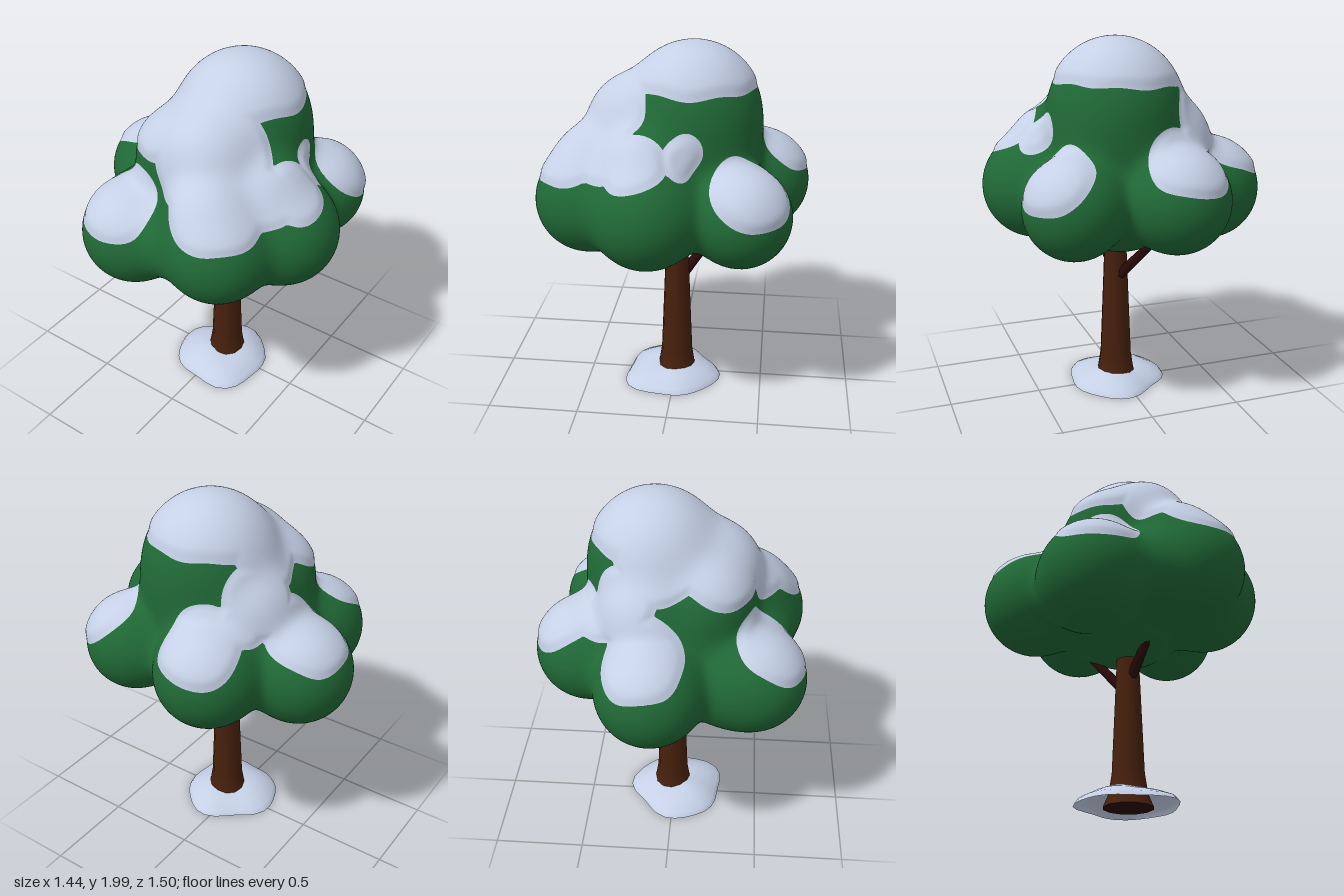
import * as THREE from 'three';
import { mergeVertices } from 'three/addons/utils/BufferGeometryUtils.js';

const mat = (name, color, side = THREE.FrontSide) => {
  const m = new THREE.MeshStandardMaterial({ color, side });
  m.name = name;
  return m;
};

// Leaf blobs: x, y, z, radius
const BLOBS = [
  [0, 1.26, 0, 0.425],           // core
  [0.13, 1.15, 0.06, 0.285],     // underside, left
  [-0.12, 1.16, 0.05, 0.28],     // underside, right
  [0.1, 1.636, 0.07, 0.345],     // crown
  [0.13, 1.48, 0.1, 0.31],       // neck below the crown
  [-0.2, 1.56, 0.08, 0.24],      // crown shoulder
  [-0.18, 1.49, -0.12, 0.23],    // back right shoulder
  [0.13, 1.44, -0.2, 0.22],      // back shoulder
  [0.09, 1.14, -0.47, 0.285],    // back lobe
  [-0.44, 1.09, -0.25, 0.277],   // back right lobe
  [-0.3, 1.1, -0.28, 0.24],      // back right lobe, inner half
  [0.44, 1.18, -0.15, 0.28],     // left lobe
  [0.37, 1.165, 0.38, 0.265],    // front left lobe
  [-0.1, 1.19, 0.46, 0.288],     // front lobe
  [-0.43, 1.19, 0.28, 0.277],    // front right lobe
  [-0.45, 1.14, 0.03, 0.18],     // fill between the right lobes
  [-0.39, 1.36, 0.2, 0.21],      // slope above the front right lobe
  [-0.12, 1.39, 0.34, 0.22],     // slope above the front lobe
];

// Snow patches lying on the leaves: x, y, z, radius
const PATCHES = [
  [0.1, 2.05, 0.06, 0.435],
  [-0.35, 1.63, 0.19, 0.3],
  [-0.24, 1.73, -0.15, 0.25],
  [-0.5, 1.5, 0.32, 0.25],
  [-0.32, 1.52, 0.48, 0.17],
  [-0.15, 1.5, 0.57, 0.17],
  [0.1, 1.52, 0.52, 0.12],
  [0.43, 1.34, 0.5, 0.21],
  [-0.54, 1.32, -0.27, 0.225],
  [0.13, 1.4, -0.56, 0.23],
  [0.55, 1.4, -0.17, 0.22],
  [0.36, 1.47, -0.29, 0.13],
  [0.05, 1.78, -0.25, 0.23],
  [0.25, 1.56, -0.33, 0.19],
];

// Smoothly blended distance to all blobs
function leafDistance(p) {
  const k = 0.04;
  let sum = 0;
  for (const [x, y, z, r] of BLOBS) {
    sum += Math.exp(-(Math.hypot(p.x - x, p.y - y, p.z - z) - r) / k);
  }
  return -k * Math.log(sum);
}

// Positive inside a snow patch, with a slightly ragged edge
function snowField(p) {
  let best = -1;
  for (const [x, y, z, r] of PATCHES) {
    best = Math.max(best, r - Math.hypot(p.x - x, p.y - y, p.z - z));
  }
  return best + 0.012 * Math.sin(17 * p.x + 3) * Math.cos(15 * p.z + 9 * p.y);
}

// Keeps the part of each triangle where its corner field is positive
function clip(triangles, sign) {
  const out = [];
  for (const tri of triangles) {
    const poly = [];
    for (let i = 0; i < 3; i++) {
      const a = tri[i], b = tri[(i + 1) % 3];
      const fa = a.f * sign, fb = b.f * sign;
      if (fa >= 0) poly.push(a.p);
      if ((fa >= 0) !== (fb >= 0)) {
        // interpolate in a fixed order so that both sides share the seam
        const [s, e] = a.id < b.id ? [a, b] : [b, a];
        poly.push(s.p.clone().lerp(e.p, s.f / (s.f - e.f)));
      }
    }
    for (let i = 2; i < poly.length; i++) {
      for (const v of [poly[0], poly[i - 1], poly[i]]) out.push(v.x, v.y, v.z);
    }
  }
  let geo = new THREE.BufferGeometry();
  geo.setAttribute('position', new THREE.Float32BufferAttribute(out, 3));
  geo = mergeVertices(geo, 1e-5);
  geo.computeVertexNormals();
  return geo;
}

// Wraps a sphere onto the blobs and returns its triangles
function canopyTriangles() {
  let ball = new THREE.IcosahedronGeometry(1, 40);
  ball.deleteAttribute('uv');
  ball.deleteAttribute('normal');
  ball = mergeVertices(ball, 1e-4);
  const centre = new THREE.Vector3(0, 1.3, 0);
  const pos = ball.attributes.position;
  const corners = [];
  for (let i = 0; i < pos.count; i++) {
    const dir = new THREE.Vector3().fromBufferAttribute(pos, i).normalize();
    const p = new THREE.Vector3();
    let t = 1.2;
    for (let n = 0; n < 60; n++) {
      p.copy(centre).addScaledVector(dir, t);
      const d = leafDistance(p);
      if (Math.abs(d) < 1e-4) break;
      t -= d;
    }
    const f = snowField(p);
    // snow swells a little away from its edge
    p.addScaledVector(dir, 0.013 * THREE.MathUtils.smoothstep(f, 0, 0.05));
    corners.push({ id: i, p, f });
  }
  const triangles = [];
  const index = ball.index.array;
  for (let i = 0; i < index.length; i += 3) {
    triangles.push([corners[index[i]], corners[index[i + 1]], corners[index[i + 2]]]);
  }
  return triangles;
}

const profile = (pts) => pts.map(([r, y]) => new THREE.Vector2(r, y));

export function createModel() {
  const group = new THREE.Group();
  const leaf = mat('leaf green', 0x206936);
  const snow = mat('snow', 0xc5d0e6, THREE.DoubleSide);
  const bark = mat('bark brown', 0x47200d);
  const darkBark = mat('dark bark', 0x2b0908);
  const add = (name, geo, material) => {
    const mesh = new THREE.Mesh(geo, material);
    mesh.name = name;
    group.add(mesh);
    return mesh;
  };

  // Canopy and the snow on it
  const triangles = canopyTriangles();
  add('leaves', clip(triangles, -1), leaf);
  add('leafSnow', clip(triangles, 1), snow);

  // Tapered trunk with a flared foot
  const trunk = add('trunk', new THREE.LatheGeometry(profile([
    [0.135, 0.002], [0.106, 0.07], [0.089, 0.18], [0.076, 0.5], [0.062, 0.85], [0.058, 1],
  ]), 12), bark);
  trunk.position.set(0.008, 0, 0.04);
  const foot = add('trunkBase', new THREE.CircleGeometry(0.135, 12), darkBark);
  foot.rotation.x = Math.PI / 2;
  foot.position.set(0.008, 0.002, 0.04);

  // Branches reaching into the leaves
  const branches = [
    ['leftBranch', [0.055, 0.67, 0.025], [0.27, 0.94, -0.12]],
    ['rightBranch', [-0.03, 0.71, 0.05], [-0.23, 0.93, 0.11]],
  ];
  for (const [name, from, to] of branches) {
    const a = new THREE.Vector3(...from), b = new THREE.Vector3(...to);
    const dir = b.clone().sub(a);
    const mesh = add(name, new THREE.CylinderGeometry(0.021, 0.03, dir.length(), 7), darkBark);
    mesh.position.copy(a).add(b).multiplyScalar(0.5);
    mesh.quaternion.setFromUnitVectors(new THREE.Vector3(0, 1, 0), dir.normalize());
  }

  // Uneven snow mound around the foot, open below
  const mound = new THREE.LatheGeometry(profile([
    [0.268, 0], [0.25, 0.028], [0.19, 0.058], [0.13, 0.08], [0.07, 0.085],
  ]), 28);
  const pos = mound.attributes.position;
  for (let i = 0; i < pos.count; i++) {
    const x = pos.getX(i), z = pos.getZ(i), a = Math.atan2(z, x);
    const s = 1 + 0.06 * Math.sin(3 * a + 0.6) + 0.04 * Math.cos(5 * a);
    pos.setXYZ(i, x * s - 0.025, pos.getY(i) * (1 + 0.1 * Math.sin(2 * a)), z * s + 0.03);
  }
  mound.deleteAttribute('uv');
  mound.deleteAttribute('normal');
  const moundGeo = mergeVertices(mound, 1e-4);
  moundGeo.computeVertexNormals();
  add('groundSnow', moundGeo, snow);

  return group;
}
